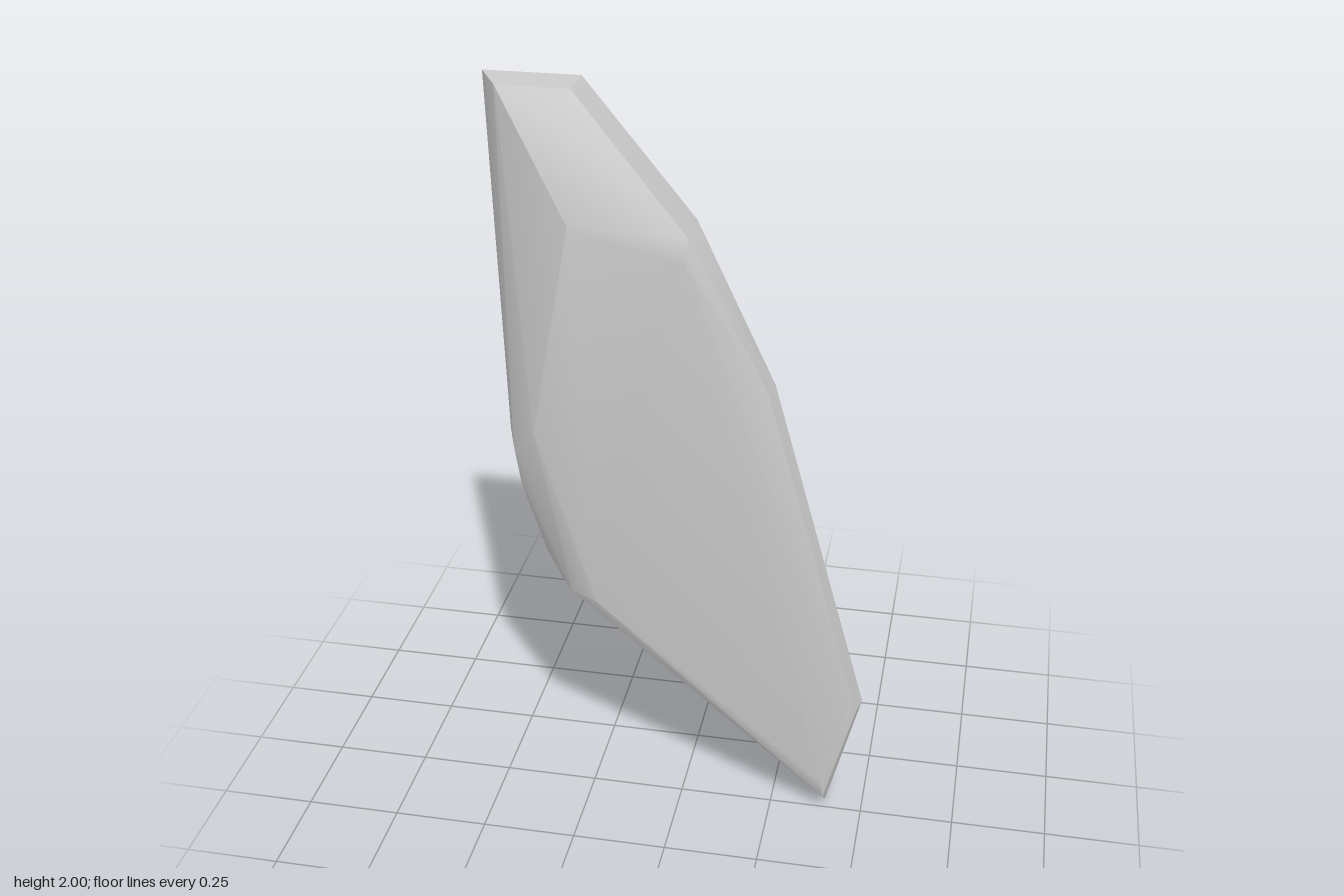
import * as THREE from 'three';
import { ConvexGeometry } from 'three/addons/geometries/ConvexGeometry.js';
import { toCreasedNormals } from 'three/addons/utils/BufferGeometryUtils.js';

export function createModel() {
  const group = new THREE.Group();
  group.name = 'rockShard';

  // Corners of the shard, grouped by region
  const regions = {
    top: [[-0.49, 2, -0.07], [-0.25, 2, -0.07], [-0.25, 2, 0.04], [-0.43, 2, 0.04]],
    shoulder: [
      [-0.05, 1.71, -0.07], [0.045, 1.71, 0.045], [0.045, 1.71, 0.165], [0.045, 1.65, 0.18],
      [-0.24, 1.71, 0.15], [0.24, 1.31, 0.06], [0.23, 1.31, 0.11],
    ],
    leftFlank: [
      [-0.44, 1.1, 0.01], [-0.42, 1.08, 0.06], [-0.35, 1.15, 0.12],
      [-0.41, 0.95, -0.05], [-0.41, 0.96, 0.04], [-0.35, 0.77, 0.04],
      [-0.33, 0.72, -0.05], [-0.31, 0.7, 0.05], [-0.27, 0.69, 0.1], [-0.2, 0.68, 0.125],
    ],
    foot: [
      [0, 0.38, -0.15], [0.4, 0.36, -0.18], [0.47, 0.35, -0.07], [0.485, 0.35, -0.03],
      [0.475, 0.35, 0.015], [0.455, 0.38, 0.032],
      [0.4, 0, -0.125], [0.4, 0.02, -0.01], [0.395, 0.05, 0.02], [0.39, 0.11, 0.035],
    ],
  };
  const points = Object.values(regions).flat().map((p) => new THREE.Vector3(...p));

  // Broad facets stay crisp, the small bevels blend
  const geometry = toCreasedNormals(new ConvexGeometry(points), 0.45);
  const shard = new THREE.Mesh(geometry, new THREE.MeshStandardMaterial({ color: 0xcccccc }));
  shard.name = 'shard';
  group.add(shard);
  return group;
}
